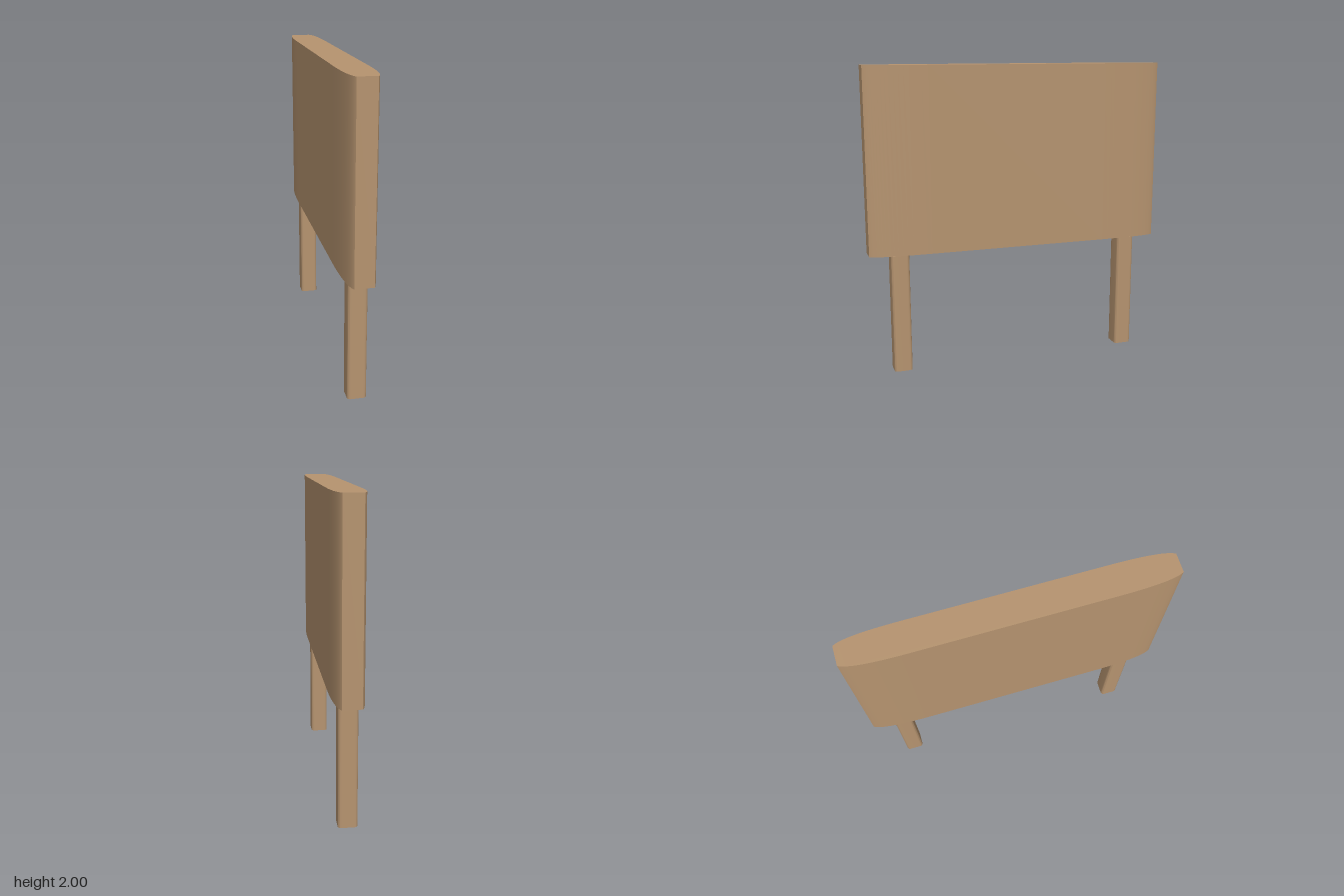
import * as THREE from 'three';
import { toCreasedNormals } from 'three/addons/utils/BufferGeometryUtils.js';

// Raise a plan outline (x, z) vertically by the given height
function upright(shape, height, curveSegments) {
  const geometry = new THREE.ExtrudeGeometry(shape, { depth: height, bevelEnabled: false, curveSegments });
  geometry.rotateX(-Math.PI / 2);
  return toCreasedNormals(geometry, 0.5);
}

// Long outline whose broad sides curve in towards flat ends
function panelOutline() {
  const side = 0.1, end = 0.06, straight = 0.6, bend = 0.94;
  const s = new THREE.Shape();
  s.moveTo(side, -straight);
  s.lineTo(side, straight);
  s.quadraticCurveTo(side, bend, end, 1);
  s.lineTo(-end, 1);
  s.quadraticCurveTo(-side, bend, -side, straight);
  s.lineTo(-side, -straight);
  s.quadraticCurveTo(-side, -bend, -end, -1);
  s.lineTo(end, -1);
  s.quadraticCurveTo(side, -bend, side, -straight);
  return s;
}

// Square with rounded corners
function legOutline(h, r) {
  const s = new THREE.Shape();
  const c = h - r;
  s.absarc(c, c, r, 0, Math.PI / 2);
  s.absarc(-c, c, r, Math.PI / 2, Math.PI);
  s.absarc(-c, -c, r, Math.PI, Math.PI * 1.5);
  s.absarc(c, -c, r, Math.PI * 1.5, Math.PI * 2);
  s.closePath();
  return s;
}

export function createModel() {
  const group = new THREE.Group();
  group.name = 'panelOnPosts';
  const wood = new THREE.MeshStandardMaterial({ color: 0xb5936f });
  wood.name = 'lightWood';

  // Broad panel
  const panel = new THREE.Mesh(upright(panelOutline(), 1.2, 16), wood);
  panel.name = 'panel';
  panel.position.y = 0.8;
  group.add(panel);

  // Two posts, stopping just short of the panel
  const legGeometry = upright(legOutline(0.06, 0.02), 0.79, 6);
  for (const [name, z] of [['frontLeg', 0.8], ['backLeg', -0.8]]) {
    const leg = new THREE.Mesh(legGeometry, wood);
    leg.name = name;
    leg.position.z = z;
    group.add(leg);
  }
  return group;
}
